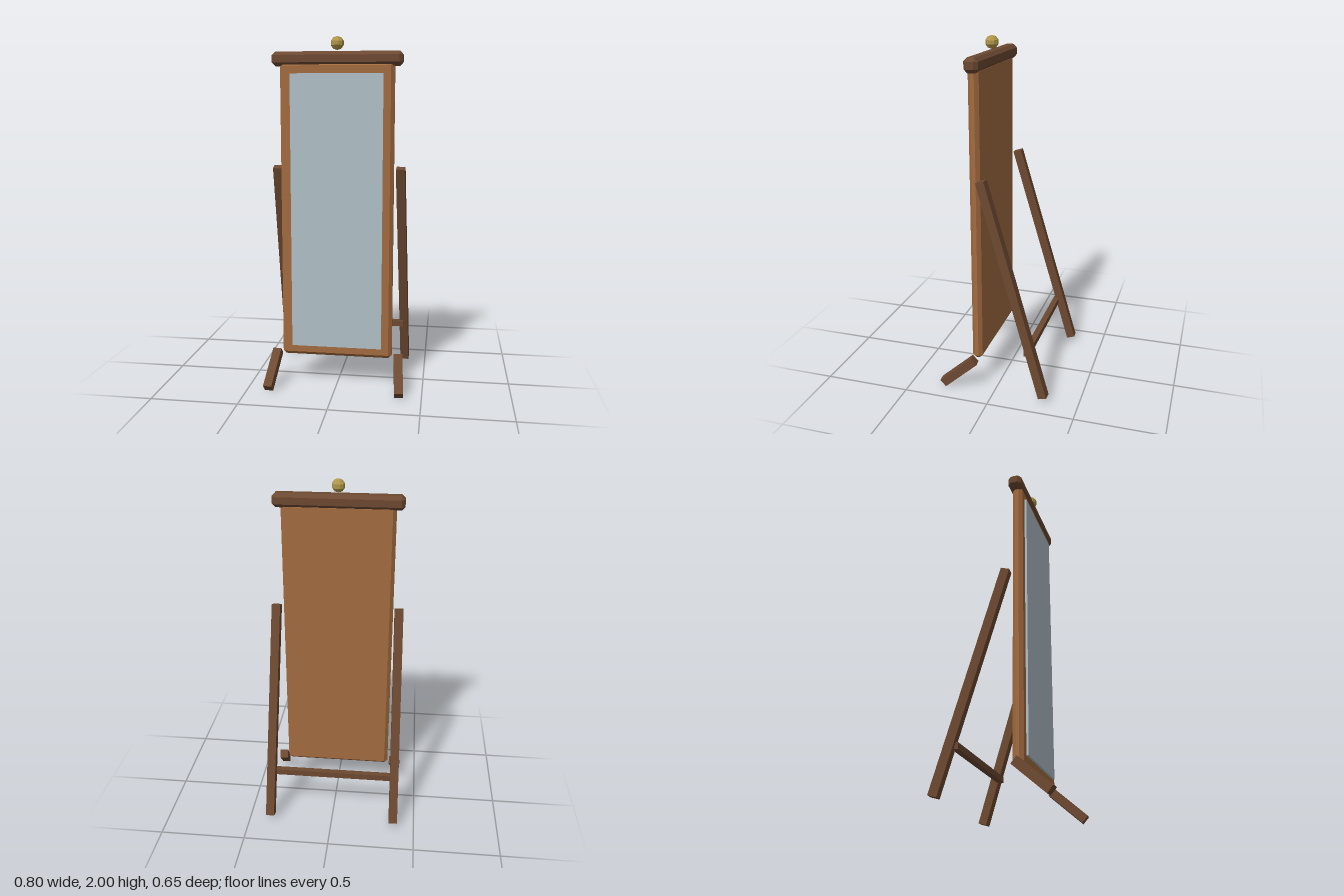
import * as THREE from 'three';
import { ConvexGeometry } from 'three/addons/geometries/ConvexGeometry.js';

const mat = (name, color) => {
  const m = new THREE.MeshStandardMaterial({ color });
  m.name = name;
  return m;
};

// Box with every edge cut back by c, centred on the origin
function chamferedBox(w, h, d, c) {
  const points = [];
  for (const sx of [-1, 1]) for (const sy of [-1, 1]) for (const sz of [-1, 1]) {
    const [x, y, z] = [w / 2, h / 2, d / 2];
    points.push(
      new THREE.Vector3(sx * x, sy * (y - c), sz * (z - c)),
      new THREE.Vector3(sx * (x - c), sy * y, sz * (z - c)),
      new THREE.Vector3(sx * (x - c), sy * (y - c), sz * z)
    );
  }
  return new ConvexGeometry(points);
}

export function createModel() {
  const group = new THREE.Group();
  group.name = 'standingMirror';

  const frameWood = mat('warm frame wood', 0xa36c40);
  const darkWood = mat('dark wood', 0x6d4931);
  const glass = mat('mirror glass', 0xb1c0c8);
  const brass = mat('brass', 0xb0974a);

  const add = (name, geometry, material, x, y, z) => {
    const mesh = new THREE.Mesh(geometry, material);
    mesh.name = name;
    mesh.position.set(x, y, z);
    group.add(mesh);
    return mesh;
  };

  // Square bar running between two points
  const bar = (name, a, b, width) => {
    const mid = a.clone().add(b).multiplyScalar(0.5);
    const geometry = new THREE.BoxGeometry(width, width, a.distanceTo(b));
    add(name, geometry, darkWood, mid.x, mid.y, mid.z).lookAt(b);
  };

  // Frame panel, glass and top rail
  add('framePanel', chamferedBox(0.64, 1.69, 0.06, 0.02), frameWood, 0, 1.017, 0.12);
  add('mirrorGlass', new THREE.BoxGeometry(0.52, 1.565, 0.014), glass, 0, 1.016, 0.155);
  add('topRail', chamferedBox(0.73, 0.08, 0.08, 0.02), darkWood, 0, 1.878, 0.116);

  // Faceted knob floating just above the rail
  const knob = new THREE.SphereGeometry(0.038, 10, 5).toNonIndexed();
  knob.computeVertexNormals();
  add('knob', knob, brass, 0, 1.962, 0.116);

  // Splayed legs on both sides
  for (const [side, s] of [['left', 1], ['right', -1]]) {
    bar(side + 'BackLeg', new THREE.Vector3(s * 0.354, 1.272, 0.068),
      new THREE.Vector3(s * 0.374, 0.027, -0.298), 0.05);
    bar(side + 'FrontLeg', new THREE.Vector3(s * 0.355, 0.183, 0.121),
      new THREE.Vector3(s * 0.374, 0.02, 0.308), 0.05);
  }

  // Stretcher joining the back legs
  add('backStretcher', new THREE.BoxGeometry(0.74, 0.035, 0.035), darkWood, 0, 0.283, -0.195);

  return group;
}
